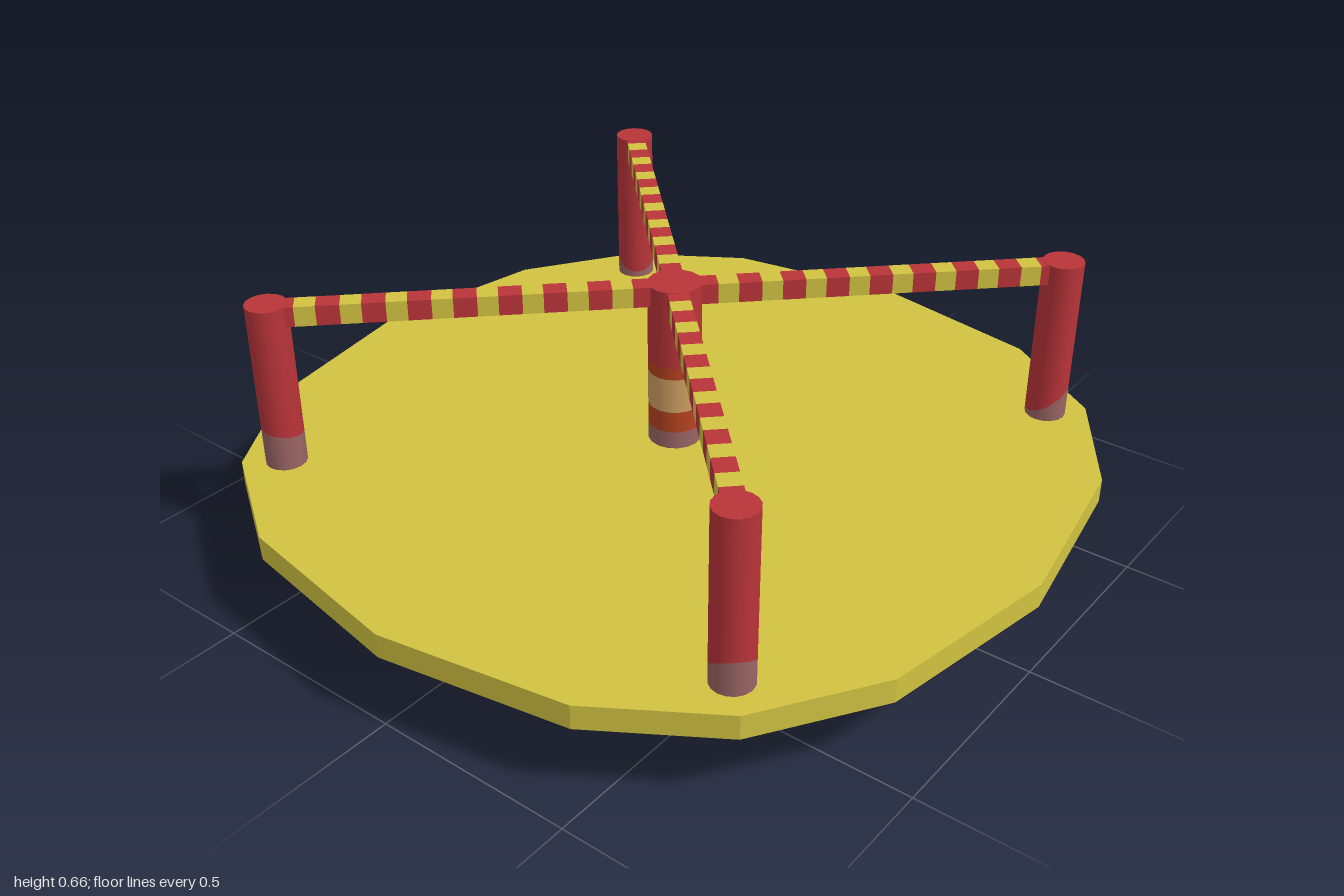
import * as THREE from 'three';

const mat = (name, color) => {
  const m = new THREE.MeshStandardMaterial({ color });
  m.name = name;
  return m;
};

export function createModel() {
  const root = new THREE.Group();
  root.name = 'merryGoRound';
  const yellow = mat('yellowPaint', 0xd2c342);
  const red = mat('redPaint', 0xb93439);
  const worn = mat('wornPaint', 0x9a6464);
  const orange = mat('orangeRing', 0xb5421f);
  const tan = mat('tanRing', 0xcf9f62);
  const brown = mat('brownBase', 0x4c3525);

  const add = (parent, name, geo, material, x = 0, y = 0, z = 0) => {
    const mesh = new THREE.Mesh(geo, material);
    mesh.name = name;
    mesh.position.set(x, y, z);
    parent.add(mesh);
    return mesh;
  };

  // One quadrant of the uneven sixteen-sided outline, repeated by turning
  const quadrant = [[1, 0], [0.92, 0.46], [0.74, 0.74], [0.46, 0.92]];
  const outline = [];
  for (let q = 0; q < 4; q++) {
    for (const [x, y] of quadrant) {
      outline.push(new THREE.Vector2(x, y).rotateAround(new THREE.Vector2(), q * Math.PI / 2));
    }
  }
  const slab = (points, height) => {
    const geo = new THREE.ExtrudeGeometry(new THREE.Shape(points), { depth: height, bevelEnabled: false });
    return geo.rotateX(-Math.PI / 2);
  };

  // Platform
  add(root, 'platform', slab(outline, 0.06), yellow, 0, 0.18, 0);

  // Base: two opposite wedges meeting at the centre
  for (const start of [0, 8]) {
    const wedge = [new THREE.Vector2(0, 0)];
    for (let i = -3; i <= 3; i++) {
      wedge.push(outline[(start + i + 16) % 16].clone().multiplyScalar(0.24));
    }
    add(root, 'baseWedge', slab(wedge, 0.18), brown);
  }

  // Upright section whose ends may be tilted by a slope towards an angle
  const section = (radius, y0, y1, tilt0 = 0, tilt1 = 0, angle = 0, open = true) => {
    const geo = new THREE.CylinderGeometry(radius, radius, y1 - y0, 16, 1, open);
    geo.translate(0, (y0 + y1) / 2, 0);
    const p = geo.attributes.position;
    for (let i = 0; i < p.count; i++) {
      const along = (p.getX(i) * Math.cos(angle) + p.getZ(i) * Math.sin(angle)) / radius;
      const tilt = p.getY(i) < (y0 + y1) / 2 ? tilt0 : tilt1;
      p.setY(i, p.getY(i) + along * tilt);
    }
    return geo;
  };

  // Centre post with painted rings
  const centre = new THREE.Group();
  centre.name = 'centrePost';
  root.add(centre);
  add(centre, 'wornFoot', section(0.065, 0.24, 0.285), worn);
  add(centre, 'lowerRing', section(0.065, 0.285, 0.34), orange);
  add(centre, 'middleRing', section(0.065, 0.34, 0.43), tan);
  add(centre, 'upperRing', section(0.065, 0.43, 0.46), orange);
  add(centre, 'postTop', section(0.065, 0.46, 0.66, 0, 0, 0, false), red);

  // Four outer posts, each joined to the centre by a striped bar
  for (let i = 0; i < 4; i++) {
    const angle = Math.PI / 4 + i * Math.PI / 2;
    const x = 0.94 * Math.cos(angle), z = 0.94 * Math.sin(angle);
    const post = new THREE.Group();
    post.name = 'outerPost';
    post.position.set(x, 0, z);
    root.add(post);
    const wear = i === 1 ? 0.33 : 0.29;
    const tilt = i === 1 ? 0.01 : 0.035;
    add(post, 'wornFoot', section(0.05, 0.24, wear, 0, tilt, angle), worn);
    add(post, 'postTop', section(0.05, wear, 0.66, tilt, 0, angle, false), red);

    const bar = new THREE.Group();
    bar.name = 'stripedBar';
    bar.rotation.y = -angle;
    root.add(bar);
    const stripe = (from, to, material) => add(bar, 'barStripe',
      new THREE.BoxGeometry(to - from, 0.05, 0.05), material, (from + to) / 2, 0.634, 0);
    stripe(0.05, 0.1, red);
    for (let k = 0; k < 8; k++) {
      const s = 0.1 + k * 0.104;
      stripe(s, s + 0.049, yellow);
      stripe(s + 0.049, Math.min(s + 0.104, 0.9), red);
    }
  }
  return root;
}
